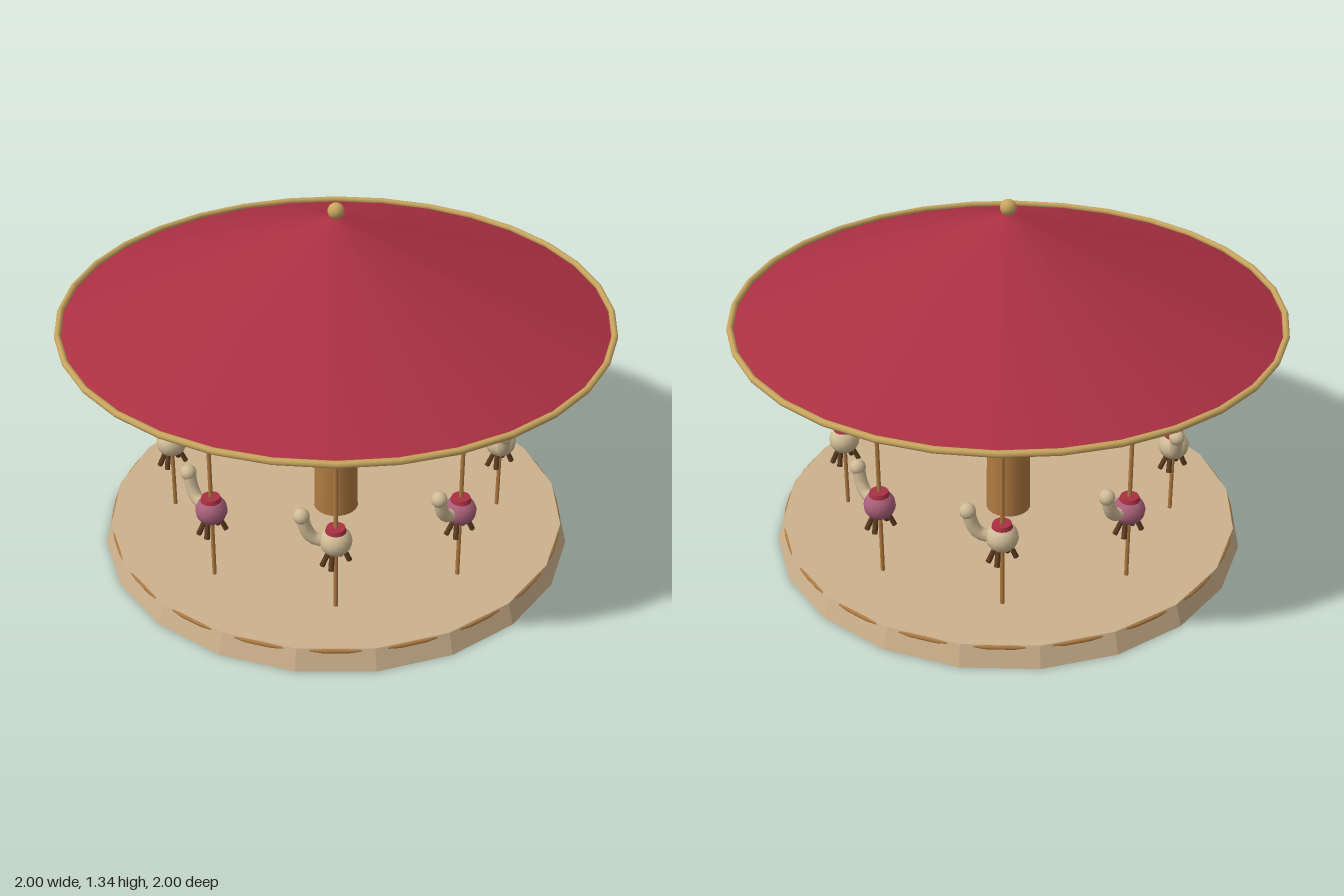
import * as THREE from 'three';

const mat = (name, color, extra = {}) => {
  const m = new THREE.MeshStandardMaterial({ color, ...extra });
  m.name = name;
  return m;
};

export function createModel() {
  const model = new THREE.Group();
  model.name = 'carousel';

  const red = mat('red canvas', 0xaa3042, { side: THREE.DoubleSide });
  const gold = mat('gold', 0xc8a55e);
  const wood = mat('warm wood', 0xb07a40);
  const tan = mat('tan platform', 0xccb18c);
  const cream = mat('cream', 0xd0bb96);
  const pink = mat('pink', 0xa85f78);
  const dark = mat('dark brown', 0x5c3c20);

  const add = (parent, name, geometry, material, x = 0, y = 0, z = 0) => {
    const mesh = new THREE.Mesh(geometry, material);
    mesh.name = name;
    mesh.position.set(x, y, z);
    parent.add(mesh);
    return mesh;
  };

  // Faceted platform; the round trim shows only at the middle of each facet
  const platform = new THREE.CylinderGeometry(0.86, 0.885, 0.08, 20).toNonIndexed();
  platform.computeVertexNormals();
  add(model, 'platform', platform, tan, 0, 0.04, 0);
  const trim = new THREE.TorusGeometry(0.85, 0.0085, 8, 60).rotateX(Math.PI / 2);
  add(model, 'platformTrim', trim, wood, 0, 0.07, 0);

  // Centre column
  add(model, 'column', new THREE.CylinderGeometry(0.073, 0.085, 0.85, 20), wood, 0, 0.505, 0);

  // Open conical roof, rim and finial
  add(model, 'roof', new THREE.ConeGeometry(0.98, 0.382, 32, 1, true), red, 0, 1.104, 0);
  const rim = new THREE.TorusGeometry(0.988, 0.012, 8, 32).rotateX(Math.PI / 2);
  add(model, 'roofRim', rim, gold, 0, 0.92, 0);
  add(model, 'finial', new THREE.SphereGeometry(0.03, 16, 12), gold, 0, 1.312, 0);

  // Shared rider geometries
  const poleGeo = new THREE.CylinderGeometry(0.0075, 0.0075, 0.845, 8);
  const bodyGeo = new THREE.SphereGeometry(0.057, 16, 12).scale(1, 0.95, 1);
  const saddleGeo = new THREE.CylinderGeometry(0.033, 0.039, 0.022, 16);
  const headGeo = new THREE.SphereGeometry(0.029, 14, 10);
  const neckPath = new THREE.CatmullRomCurve3([
    [0.03, 0.362], [0.075, 0.374], [0.099, 0.405], [0.114, 0.458],
  ].map(([x, y]) => new THREE.Vector3(x, y, 0)));
  const neckGeo = new THREE.TubeGeometry(neckPath, 10, 0.023, 10);

  // Straight leg between two points
  const legGeo = (from, to) => {
    const dir = to.clone().sub(from);
    const g = new THREE.CylinderGeometry(0.009, 0.01, dir.length(), 8);
    g.applyQuaternion(new THREE.Quaternion().setFromUnitVectors(
      new THREE.Vector3(0, -1, 0), dir.clone().normalize()));
    const mid = from.clone().add(to).multiplyScalar(0.5);
    return g.translate(mid.x, mid.y, mid.z);
  };
  const legs = [];
  for (const sx of [-1, 1]) for (const sz of [-1, 1]) {
    legs.push(legGeo(
      new THREE.Vector3(sx * 0.022, 0.335, sz * 0.005),
      new THREE.Vector3(sx * 0.045, 0.268, sz * 0.022)));
  }

  // Eight riders around the column, alternating pink and cream
  for (let i = 0; i < 8; i++) {
    const a = i * Math.PI / 4;
    const rider = new THREE.Group();
    rider.name = 'rider' + (i + 1);
    rider.position.set(0.62 * Math.sin(a), 0, 0.62 * Math.cos(a));
    model.add(rider);

    add(rider, 'pole', poleGeo, wood, 0, 0.5, 0);
    add(rider, 'body', bodyGeo, i % 2 ? cream : pink, 0, 0.362, 0);
    add(rider, 'saddle', saddleGeo, red, 0, 0.407, 0);
    legs.forEach((g) => add(rider, 'leg', g, dark));

    // Neck and head point along the direction of travel
    const front = new THREE.Group();
    front.name = 'neckAndHead';
    front.rotation.y = a + Math.PI;
    rider.add(front);
    add(front, 'neck', neckGeo, cream);
    add(front, 'head', headGeo, cream, 0.117, 0.464, 0);
  }

  return model;
}
